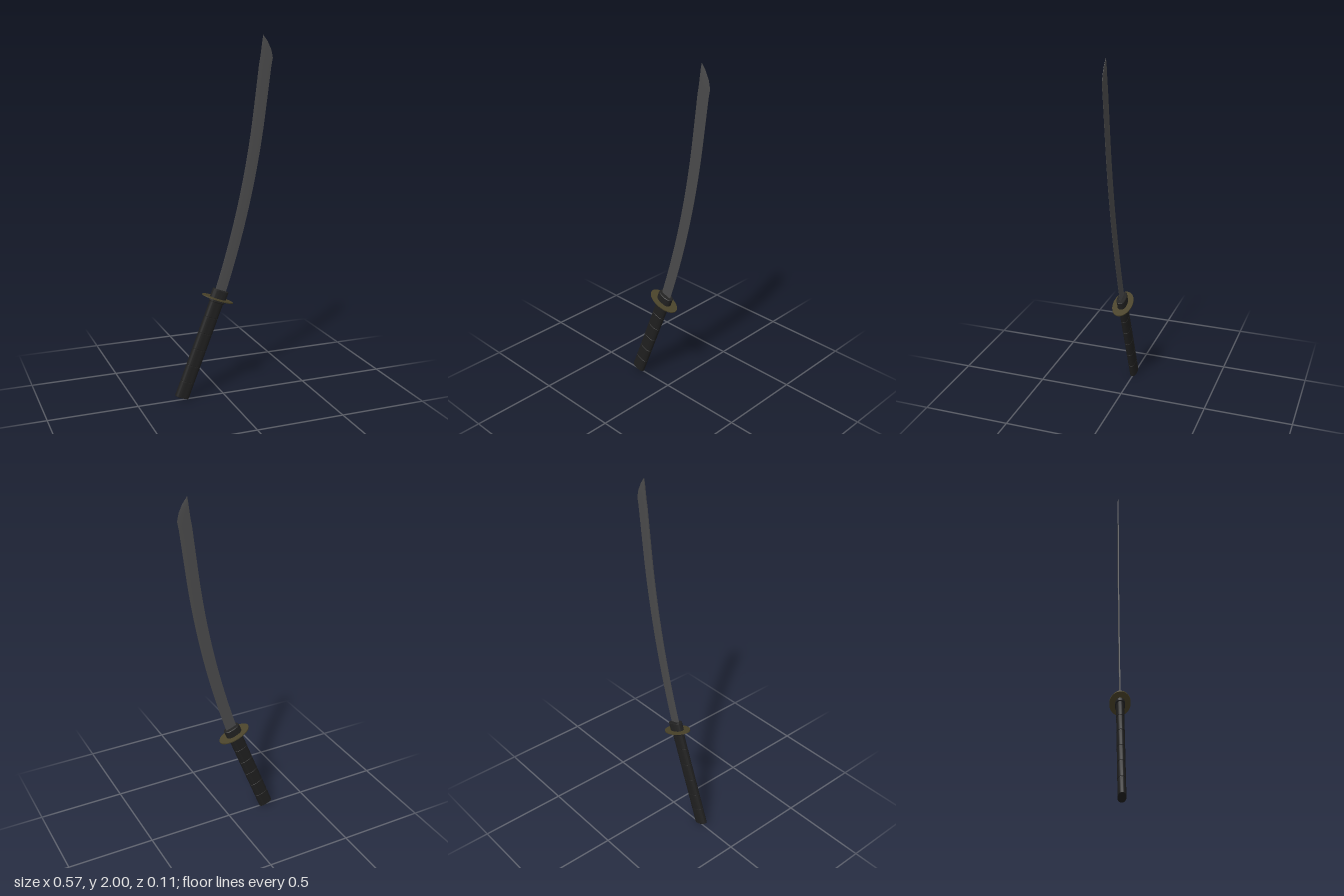
import * as THREE from 'three';
import { toCreasedNormals } from 'three/addons/utils/BufferGeometryUtils.js';

const mat = (name, color, side = THREE.FrontSide) => {
  const m = new THREE.MeshStandardMaterial({ color, side });
  m.name = name;
  return m;
};

// Rounded oval outline; power 2 is an ellipse, higher is boxier
function oval(a, b, power = 2, n = 48) {
  const pts = [];
  for (let i = 0; i < n; i++) {
    const t = (i / n) * Math.PI * 2, c = Math.cos(t), s = Math.sin(t);
    pts.push(new THREE.Vector2(
      a * Math.sign(c) * Math.abs(c) ** (2 / power),
      b * Math.sign(s) * Math.abs(s) ** (2 / power)));
  }
  return new THREE.Shape(pts);
}

// Oval slab standing along y from y0 to y1, with a small bevel
function slab(name, material, a, b, power, y0, y1, bevel) {
  const geo = new THREE.ExtrudeGeometry(oval(a - bevel, b - bevel, power), {
    depth: y1 - y0 - 2 * bevel, bevelEnabled: bevel > 0,
    bevelSize: bevel, bevelThickness: bevel, bevelSegments: 1,
  });
  geo.rotateX(-Math.PI / 2).translate(0, y0 + bevel, 0);
  const mesh = new THREE.Mesh(toCreasedNormals(geo, 0.5), material);
  mesh.name = name;
  return mesh;
}

// Curved blade lofted from six-sided sections between spine and cutting edge
function bladeGeometry() {
  const rows = [];
  const spineX = (y) => {
    const t = y - 0.63, k = Math.min(t, 0.97);
    return -0.042 + 0.33 * k - 0.108 * k * k + 0.121 * (t - k);
  };
  for (let i = 0; i <= 24; i++) {
    const y = 0.575 + (1.845 - 0.575) * (i / 24);
    const slope = (spineX(y + 0.01) - spineX(y - 0.01)) / 0.02;
    const w = (0.064 + 0.007 * (i / 24)) / Math.hypot(1, slope);
    rows.push([spineX(y), y, spineX(y) + w, y - w * slope]);
  }
  // Curved point, ending on the spine side
  rows.push([0.214, 1.89, 0.285, 1.88], [0.219, 1.93, 0.275, 1.923],
    [0.2245, 1.972, 0.254, 1.966], [0.228, 2, 0.229, 1.999]);

  const section = [[0, 0.003], [0.4, 0.004], [1, 0.0006], [1, -0.0006], [0.4, -0.004], [0, -0.003]];
  const pos = [], idx = [], n = section.length;
  rows.forEach(([sx, sy, ex, ey], r) => {
    const thin = r === rows.length - 1 ? 0.3 : 1;
    for (const [u, z] of section) pos.push(sx + (ex - sx) * u, sy + (ey - sy) * u, z * thin);
    if (r === 0) return;
    for (let j = 0; j < n; j++) {
      const a = (r - 1) * n + j, b = (r - 1) * n + ((j + 1) % n);
      idx.push(a, b, b + n, a, b + n, a + n);
    }
  });
  // End caps
  const last = (rows.length - 1) * n;
  for (let j = 1; j < n - 1; j++) {
    idx.push(0, j + 1, j, last, last + j, last + j + 1);
  }
  const geo = new THREE.BufferGeometry();
  geo.setAttribute('position', new THREE.Float32BufferAttribute(pos, 3));
  geo.setIndex(idx);
  return toCreasedNormals(geo, 0.4);
}

export function createModel() {
  const steel = mat('dark steel', 0x4a4a4b, THREE.DoubleSide);
  const black = mat('black wrap', 0x1f1f1f);
  const collarBlack = mat('collar black', 0x222222);
  const bronze = mat('dull bronze', 0x4a432a);

  const model = new THREE.Group();
  model.name = 'curvedSword';

  const blade = new THREE.Mesh(bladeGeometry(), steel);
  blade.name = 'blade';
  model.add(blade);

  // Hilt is built upright, then tilted to meet the blade
  const hilt = new THREE.Group();
  hilt.name = 'hilt';
  hilt.position.set(-0.248, 0.0155, 0);
  hilt.rotation.z = -0.372;
  model.add(hilt);

  // Wrapped grip: bands with narrow grooves over a core
  hilt.add(slab('gripCore', black, 0.039, 0.0195, 2.5, 0.005, 0.585, 0));
  const bands = 6, step = 0.58 / bands;
  for (let i = 0; i < bands; i++) {
    hilt.add(slab('gripBand', black, 0.041, 0.021, 2.5, i * step, (i + 1) * step - 0.002, 0.0015));
  }

  hilt.add(slab('guard', bronze, 0.095, 0.056, 2, 0.591, 0.597, 0));
  hilt.add(slab('collar', collarBlack, 0.048, 0.026, 2.4, 0.573, 0.645, 0.003));

  return model;
}
